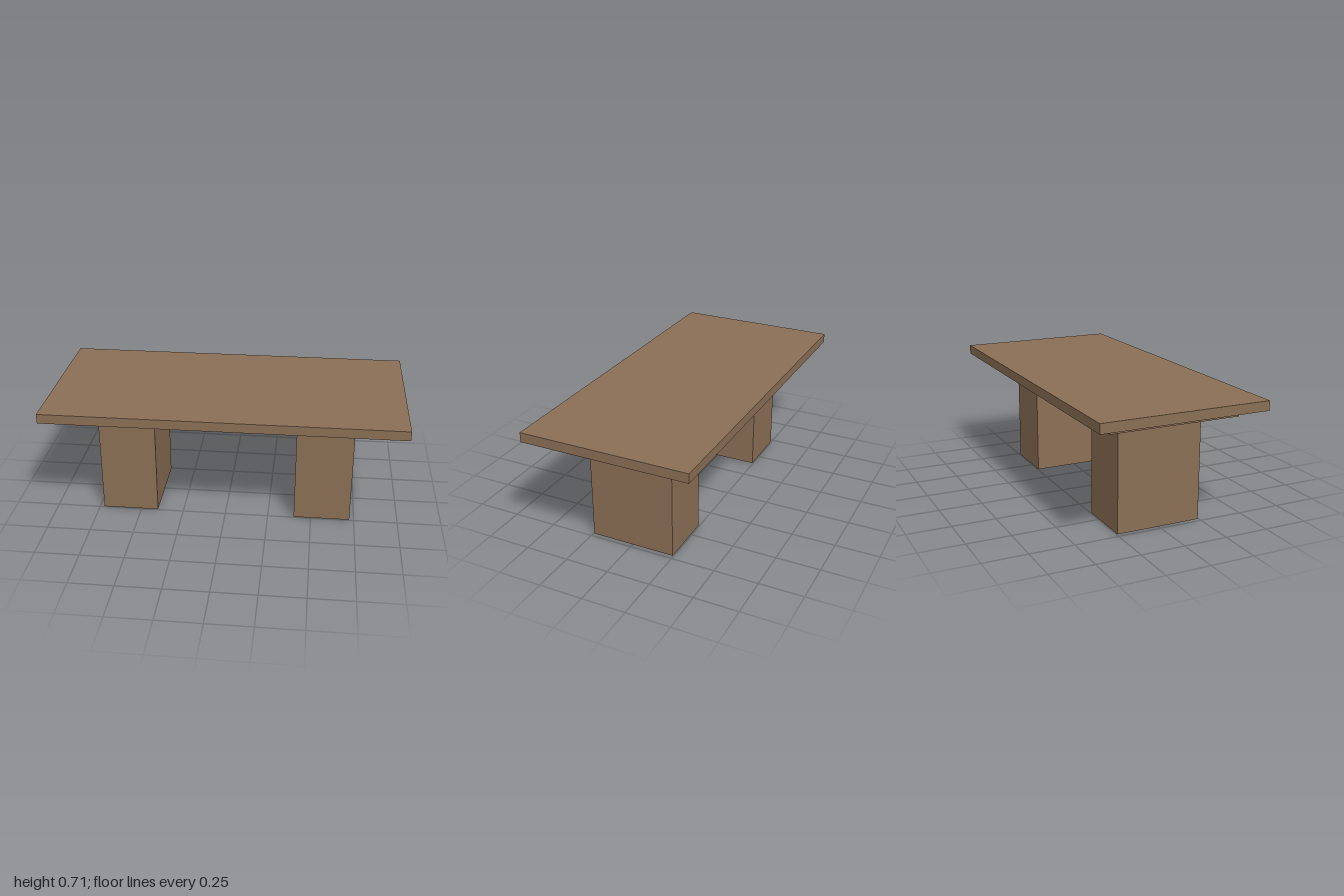
import * as THREE from 'three';

export function createModel() {
  const model = new THREE.Group();
  model.name = 'table';

  const wood = new THREE.MeshStandardMaterial({ color: 0x8b6f55 });
  wood.name = 'brown wood';

  // Adds a box resting at height y0 and reaching y1
  function addBox(name, width, depth, y0, y1, x = 0) {
    const mesh = new THREE.Mesh(new THREE.BoxGeometry(width, y1 - y0, depth), wood);
    mesh.name = name;
    mesh.position.set(x, (y0 + y1) / 2, 0);
    model.add(mesh);
  }

  // Top slab and the smaller board beneath it
  addBox('tableTop', 2, 0.955, 0.656, 0.71);
  addBox('underBoard', 1.774, 0.743, 0.61, 0.656);

  // Two block pedestals
  for (const side of [-1, 1]) {
    addBox(side > 0 ? 'leftPedestal' : 'rightPedestal', 0.323, 0.489, 0, 0.61, side * 0.563);
  }

  return model;
}
